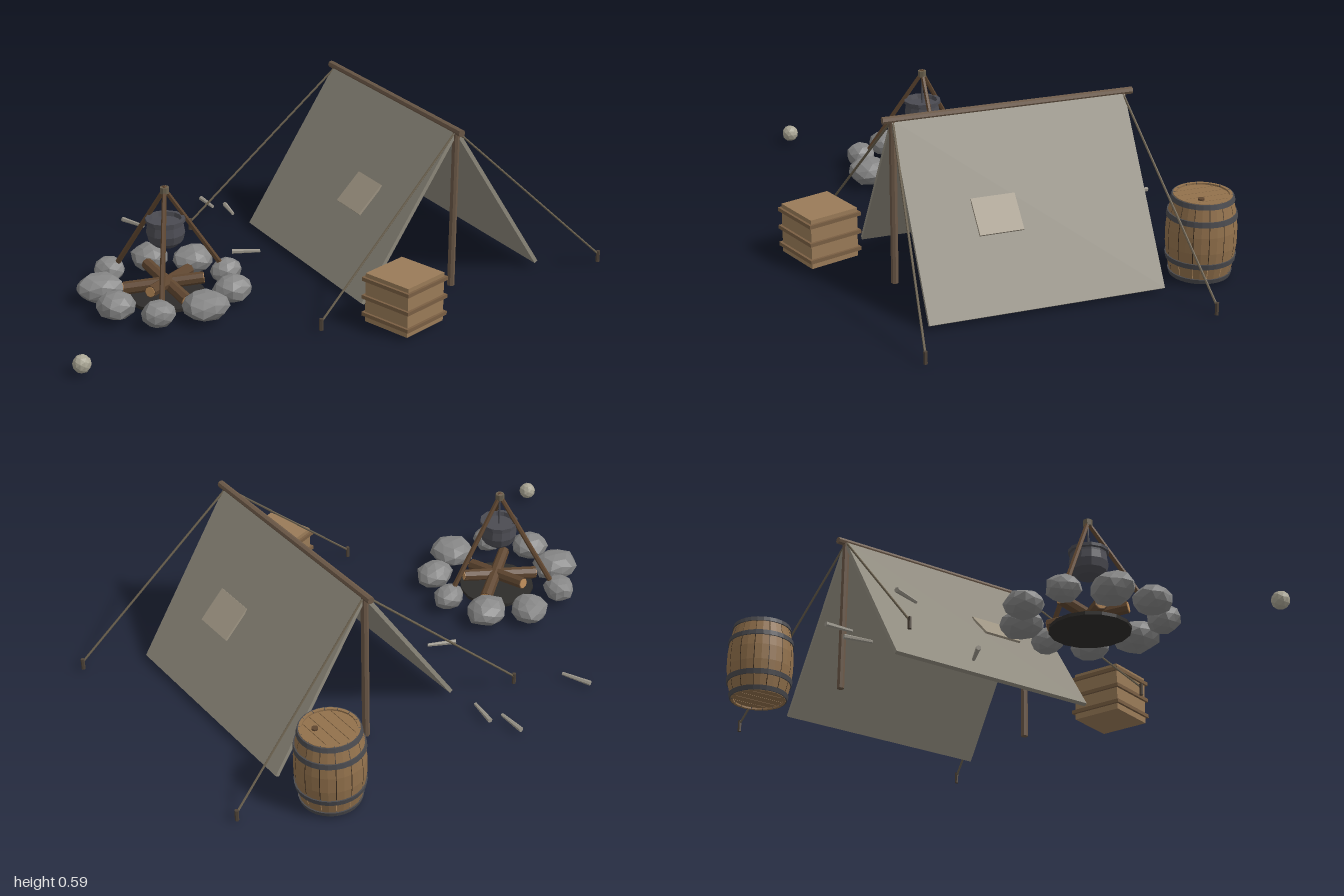
import * as THREE from 'three';

const mat = (color, flat = true) => new THREE.MeshStandardMaterial({ color, flatShading: flat });
const M = {
  wood: mat(0x6b5847), bark: mat(0x5f4630), cut: mat(0xb98a58), canvas: mat(0x8f8a7d), patch: mat(0xa09684),
  rope: mat(0x6a604e), stake: mat(0x4e4338), rock: mat(0x868686), ash: mat(0x2e2c2a), iron: mat(0x4b4b52),
  crate: mat(0x9a7b58), crateDark: mat(0x7a5f43), stave: mat(0x92714c), gap: mat(0x3a2c1f),
  hoop: mat(0x4a4a4e), twig: mat(0x9b968b), pebble: mat(0xa9a594),
};
const V = (x, y, z) => new THREE.Vector3(x, y, z);

// seeded noise
let seed = 7;
const rnd = () => (seed = (seed * 16807) % 2147483647) / 2147483647;

function add(parent, name, geo, material, x = 0, y = 0, z = 0) {
  const m = new THREE.Mesh(geo, material);
  m.name = name;
  m.position.set(x, y, z);
  parent.add(m);
  return m;
}

function group(parent, name, x = 0, y = 0, z = 0) {
  const g = new THREE.Group();
  g.name = name;
  g.position.set(x, y, z);
  parent.add(g);
  return g;
}

// cylinder running from a to b
function rod(parent, name, a, b, r, material, sides = 8, rEnd = r) {
  const d = b.clone().sub(a);
  const m = add(parent, name, new THREE.CylinderGeometry(rEnd, r, d.length(), sides), material);
  m.position.copy(a).addScaledVector(d, 0.5);
  m.quaternion.setFromUnitVectors(V(0, 1, 0), d.normalize());
  return m;
}

// faceted stone: displaced by direction so shared corners stay together
function stoneGeometry(radius, rough) {
  const g = new THREE.IcosahedronGeometry(radius, 1);
  const p = g.attributes.position, v = V(0, 0, 0);
  const a = rnd() * 6, b = rnd() * 6;
  for (let i = 0; i < p.count; i++) {
    v.fromBufferAttribute(p, i);
    const n = v.clone().normalize();
    v.multiplyScalar(1 + rough * Math.sin(n.x * 4 + a) * Math.cos(n.z * 4 + n.y * 3 + b));
    p.setXYZ(i, v.x, v.y, v.z);
  }
  g.computeVertexNormals();
  return g;
}

function buildTent(root) {
  const tent = group(root, 'tent', 0.417, 0, 0.005);
  rod(tent, 'ridgePole', V(0, 0.583, -0.435), V(0, 0.583, 0.435), 0.013, M.wood);
  for (const s of [1, -1]) {
    rod(tent, 'uprightPole', V(0, 0.012, s * 0.4), V(0, 0.583, s * 0.4), 0.013, M.wood);
    // sloping canvas side with a sewn patch
    const angle = Math.atan2(0.56, 0.362);
    const side = add(tent, 'canvasSide', new THREE.BoxGeometry(0.667, 0.014, 0.81), M.canvas, s * 0.181, 0.302, 0);
    side.rotation.z = -s * angle;
    const patch = add(tent, 'patch', new THREE.BoxGeometry(0.128, 0.008, 0.15), M.patch, s * 0.207, 0.298, 0.12);
    patch.rotation.z = -s * 0.8;
    // guy ropes and their stakes
    for (const f of [1, -1]) {
      rod(tent, 'guyRope', V(0, 0.583, f * 0.4), V(s * 0.573, 0.04, f * 0.488), 0.004, M.rope, 6);
      rod(tent, 'stake', V(s * 0.573, 0.01, f * 0.488), V(s * 0.573, 0.052, f * 0.488), 0.007, M.stake, 6);
    }
  }
}

function buildCampfire(root) {
  const fire = group(root, 'campfire', -0.485, 0, 0.003);
  add(fire, 'ashBed', new THREE.CylinderGeometry(0.136, 0.136, 0.012, 16), M.ash, 0, 0.014, 0);

  // stone ring: x, z, half-length, half-width
  const stones = [
    [0.045, -0.235, 0.068, 0.066], [-0.125, -0.205, 0.055, 0.06], [-0.215, -0.08, 0.084, 0.07],
    [-0.225, 0.077, 0.068, 0.066], [-0.13, 0.205, 0.058, 0.055], [0.035, 0.222, 0.08, 0.078],
    [0.18, 0.147, 0.072, 0.06], [0.229, 0.002, 0.06, 0.05], [0.173, -0.148, 0.078, 0.07],
  ];
  for (const [x, z, a, b] of stones) {
    const s = add(fire, 'ringStone', stoneGeometry(1, 0.08), M.rock, x, 0.058, z);
    s.scale.set(a, 0.04 + 0.15 * (a - 0.05) + 0.004, b);
    s.rotation.y = Math.atan2(x, z) * 0.15;
  }

  // crossed logs with pale cut ends
  const logs = [
    [V(0.015, 0.04, 0.125), V(-0.015, 0.085, -0.13)],
    [V(-0.135, 0.045, -0.06), V(0.115, 0.075, 0.052)],
    [V(0.12, 0.05, -0.08), V(-0.1, 0.08, 0.08)],
  ];
  for (const [a, b] of logs) {
    rod(fire, 'log', a, b, 0.023, M.bark, 8, 0.021);
    const d = b.clone().sub(a).normalize().multiplyScalar(0.002);
    rod(fire, 'logEnd', b, b.clone().add(d), 0.018, M.cut, 8);
    rod(fire, 'logEnd', a, a.clone().sub(d), 0.02, M.cut, 8);
  }

  // tripod
  for (let i = 0; i < 3; i++) {
    const t = (i * Math.PI * 2) / 3;
    rod(fire, 'tripodLeg', V(Math.cos(t) * 0.245, 0.03, Math.sin(t) * 0.245), V(-Math.cos(t) * 0.006, 0.415, -Math.sin(t) * 0.006), 0.01, M.bark, 6, 0.008);
  }
  add(fire, 'tripodLashing', new THREE.CylinderGeometry(0.016, 0.016, 0.022, 8), M.rope, 0, 0.403, 0);

  // hanging pot
  rod(fire, 'hanger', V(0, 0.285, 0), V(0, 0.41, 0), 0.004, M.iron, 6);
  const profile = [[0, 0.202], [0.04, 0.204], [0.06, 0.222], [0.067, 0.25], [0.062, 0.28], [0.062, 0.287],
    [0.069, 0.29], [0.069, 0.301], [0.056, 0.301], [0.052, 0.287], [0, 0.287]];
  add(fire, 'pot', new THREE.LatheGeometry(profile.map(([r, y]) => new THREE.Vector2(r, y)), 12), M.iron);
}

function buildCrate(root) {
  const crate = group(root, 'crate', 0.116, 0, 0.574);
  crate.rotation.y = 0.3;
  add(crate, 'crateBody', new THREE.BoxGeometry(0.184, 0.176, 0.184), M.crate, 0, 0.103, 0);
  for (const y of [0.043, 0.105, 0.17]) {
    add(crate, 'crateBand', new THREE.BoxGeometry(0.202, 0.013, 0.202), M.crateDark, 0, y, 0);
  }
}

function buildBarrel(root) {
  const barrel = group(root, 'barrel', 0.688, 0.014, -0.572);
  const H = 0.284, N = 14;
  const radius = (y) => 0.119 - 0.021 * ((y / H) * 2 - 1) ** 2;
  const levels = [0, 0.2, 0.4, 0.6, 0.8, 1].map((k) => k * H);
  const curve = (off) => levels.map((y) => new THREE.Vector2(radius(y) - off, y));

  // staves over a dark core, leaving narrow seams
  const core = [new THREE.Vector2(0, 0.012), ...curve(0.004).slice(1, 5), new THREE.Vector2(0, H - 0.012)];
  add(barrel, 'barrelCore', new THREE.LatheGeometry(core, 28), M.gap);
  const inner = curve(0.01);
  const staveProfile = [inner[0], ...curve(0), inner[5], inner[0]];
  for (let i = 0; i < N; i++) {
    const step = (Math.PI * 2) / N;
    add(barrel, 'stave', new THREE.LatheGeometry(staveProfile, 2, i * step, step * 0.95), M.stave);
  }

  // iron hoops
  for (const [y, h] of [[0.01, 0.016], [0.067, 0.018], [0.217, 0.018], [0.274, 0.016]]) {
    const [a, b] = [y - h / 2, y + h / 2];
    const ring = [[radius(a) - 0.006, a], [radius(a) + 0.004, a], [radius(b) + 0.004, b], [radius(b) - 0.006, b]];
    add(barrel, 'hoop', new THREE.LatheGeometry(ring.map(([r, v]) => new THREE.Vector2(r, v)), 28), M.hoop);
  }

  // end heads made of planks trimmed to a circle
  const R = 0.091, W = (2 * R) / 5;
  for (const y of [0.006, H - 0.012]) {
    for (let i = 0; i < 5; i++) {
      const x0 = -R + i * W + 0.001, x1 = x0 + W - 0.002, s = new THREE.Shape();
      const edge = (k) => { const x = x0 + ((x1 - x0) * k) / 4; return [x, Math.sqrt(R * R - x * x)]; };
      s.moveTo(x0, -edge(0)[1]);
      for (let k = 1; k <= 4; k++) s.lineTo(edge(k)[0], -edge(k)[1]);
      for (let k = 4; k >= 0; k--) s.lineTo(...edge(k));
      const plank = add(barrel, 'headPlank', new THREE.ExtrudeGeometry(s, { depth: 0.006, bevelEnabled: false }), M.stave, 0, y, 0);
      plank.rotation.x = -Math.PI / 2;
    }
  }
  add(barrel, 'bung', new THREE.CylinderGeometry(0.011, 0.011, 0.008, 10), M.bark, 0.038, H - 0.004, 0.025);
}

function buildScatter(root) {
  const twigs = [[-0.352, -0.66, -0.312, -0.56], [0, -0.705, 0, -0.605], [0.052, -0.605, 0.035, -0.505], [-0.132, -0.192, -0.04, -0.148]];
  for (const [x0, z0, x1, z1] of twigs) {
    rod(root, 'twig', V(x0, 0.026, z0), V(x1, 0.026, z1), 0.009, M.twig, 6, 0.006);
  }
  add(root, 'pebble', stoneGeometry(0.031, 0.03), M.pebble, -0.969, 0.044, 0.392);
}

export function createModel() {
  const root = new THREE.Group();
  root.name = 'campsite';
  buildTent(root);
  buildCampfire(root);
  buildCrate(root);
  buildBarrel(root);
  buildScatter(root);
  return root;
}
